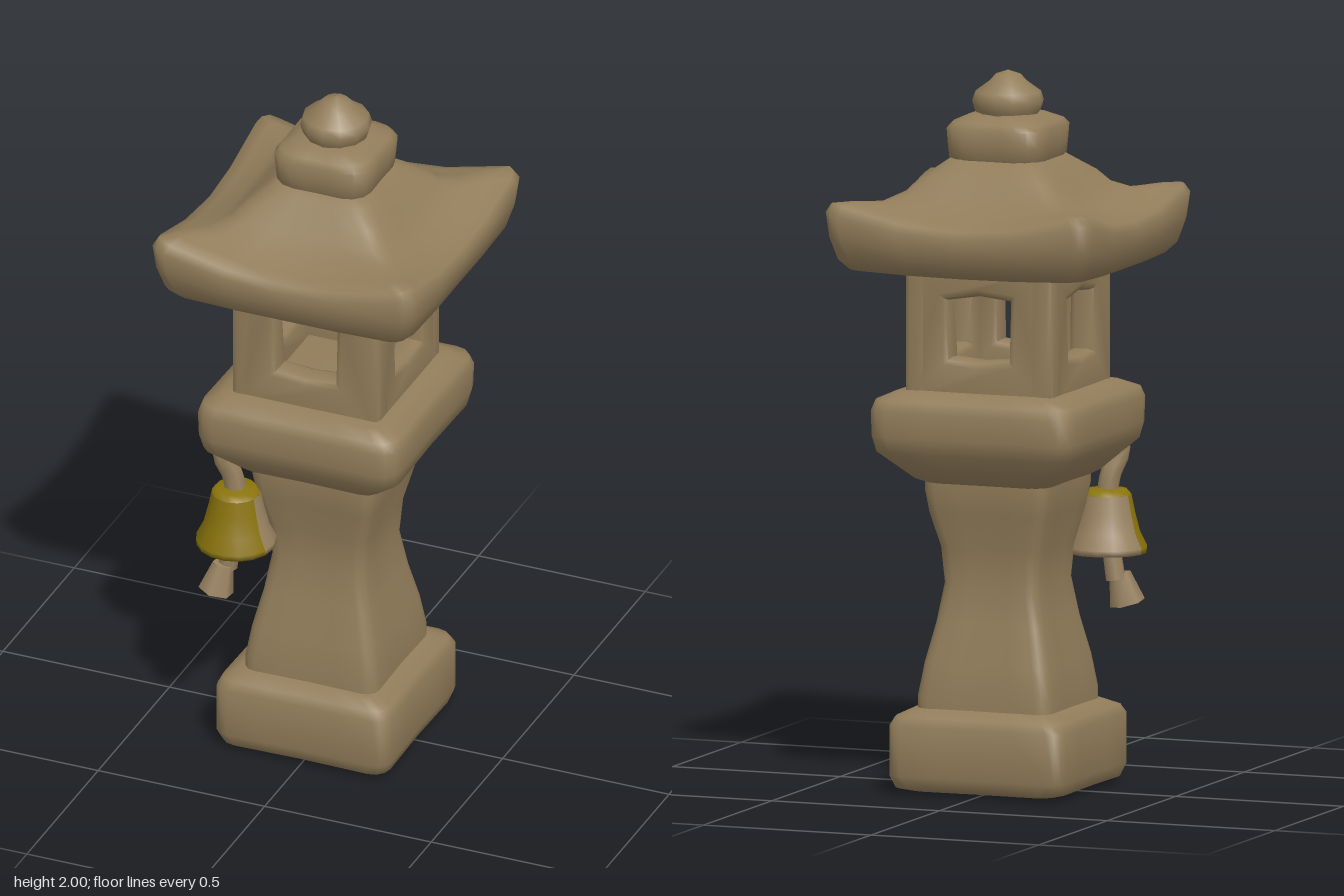
import * as THREE from 'three';
import { toCreasedNormals } from 'three/addons/utils/BufferGeometryUtils.js';

const stone = new THREE.MeshStandardMaterial({ color: 0x927d5a });
stone.name = 'stone';
const brass = new THREE.MeshStandardMaterial({ color: 0x8a740c, side: THREE.DoubleSide });
brass.name = 'brass';
const tan = new THREE.MeshStandardMaterial({ color: 0x9a8361, side: THREE.DoubleSide });
tan.name = 'weathered tan';

// Rounded square outline: each point is [x, z], seven points per side
function roundedSquare(half, radius) {
  const pts = [];
  for (let q = 0; q < 4; q++) {
    const c = Math.cos(q * Math.PI / 2), s = Math.sin(q * Math.PI / 2);
    const add = (x, z) => {
      const sag = 0.02 * half * (1 - Math.abs(z) / half); // worn, slightly hollow sides
      pts.push([(x - sag) * c - z * s, (x - sag) * s + z * c]);
    };
    const flat = half - radius;
    for (let i = -2; i <= 2; i++) add(half, flat * i / 2);
    for (const a of [Math.PI / 6, Math.PI / 3]) {
      add(flat + radius * Math.cos(a), flat + radius * Math.sin(a));
    }
  }
  return pts;
}

// Carved block from rings of [y, half width, corner radius, corner lift]
function carved(rings, bottomY, topY) {
  const pos = [], idx = [], n = 28;
  for (const [y, half, radius, lift = 0] of rings) {
    for (const [x, z] of roundedSquare(half, radius)) {
      const corner = Math.min(Math.abs(x), Math.abs(z)) / half;
      pos.push(x, y + lift * corner * corner, z);
    }
  }
  for (let i = 0; i < rings.length - 1; i++) {
    for (let j = 0; j < n; j++) {
      const a = i * n + j, b = i * n + (j + 1) % n;
      idx.push(a, a + n, b + n, a, b + n, b);
    }
  }
  const low = pos.length / 3, high = low + 1, last = (rings.length - 1) * n;
  pos.push(0, bottomY, 0, 0, topY, 0);
  for (let j = 0; j < n; j++) {
    const k = (j + 1) % n;
    idx.push(low, j, k, high, last + k, last + j);
  }
  const g = new THREE.BufferGeometry();
  g.setAttribute('position', new THREE.Float32BufferAttribute(pos, 3));
  g.setIndex(idx);
  return toCreasedNormals(g, 1.0);
}

function part(name, geometry, material, parent) {
  const m = new THREE.Mesh(geometry, material);
  m.name = name;
  parent.add(m);
  return m;
}

// One wall of the lamp house with a chamfered window
function wallGeometry() {
  const bevel = 0.02, w = 0.222;
  const shape = new THREE.Shape([[-w, 1.08], [w, 1.08], [w, 1.5], [-w, 1.5]]
    .map(p => new THREE.Vector2(...p)));
  shape.holes.push(new THREE.Path([[-0.085, 1.22], [-0.095, 1.38], [0, 1.395], [0.092, 1.385], [0.088, 1.22], [0, 1.213]]
    .map(p => new THREE.Vector2(...p))));
  const g = new THREE.ExtrudeGeometry(shape, {
    depth: 0.04, bevelEnabled: true, bevelSize: bevel, bevelOffset: -bevel,
    bevelThickness: 0.02, bevelSegments: 2,
  });
  g.translate(0, 0, 0.222 - 0.06);
  return toCreasedNormals(g, 0.9);
}

const lathePoints = list => list.map(p => new THREE.Vector2(...p));

export function createModel() {
  const lantern = new THREE.Group();
  lantern.name = 'stoneLantern';

  part('base', carved([
    [0.005, 0.215, 0.05], [0.015, 0.25, 0.05], [0.05, 0.262, 0.045], [0.19, 0.262, 0.045],
    [0.215, 0.25, 0.05], [0.235, 0.21, 0.05],
  ], 0, 0.24), stone, lantern);

  part('post', carved([
    [0.2, 0.2, 0.04], [0.27, 0.2, 0.04], [0.36, 0.186, 0.04], [0.47, 0.16, 0.035],
    [0.58, 0.142, 0.035], [0.68, 0.15, 0.035], [0.78, 0.175, 0.035], [0.84, 0.185, 0.04], [0.88, 0.185, 0.04],
  ], 0.2, 0.88), stone, lantern);

  part('platform', carved([
    [0.86, 0.18, 0.05], [0.875, 0.21, 0.05], [0.9, 0.235, 0.05], [0.955, 0.293, 0.06],
    [1.0, 0.303, 0.06], [1.07, 0.305, 0.06], [1.1, 0.295, 0.06], [1.12, 0.25, 0.05], [1.13, 0.2, 0.05],
  ], 0.86, 1.13), stone, lantern);

  // Lamp house with a window on every side
  const house = new THREE.Group();
  house.name = 'lampHouse';
  lantern.add(house);
  const wall = wallGeometry();
  for (let i = 0; i < 4; i++) part('windowWall', wall, stone, house).rotation.y = i * Math.PI / 2;

  // Roof with upturned corners
  part('roof', carved([
    [1.455, 0.24, 0.03], [1.46, 0.345, 0.04, 0.01], [1.48, 0.372, 0.05, 0.02], [1.53, 0.39, 0.05, 0.035],
    [1.575, 0.398, 0.05, 0.065], [1.595, 0.385, 0.05, 0.07], [1.61, 0.345, 0.05, 0.055],
    [1.635, 0.28, 0.05, 0.02], [1.675, 0.23, 0.05], [1.71, 0.2, 0.05], [1.745, 0.155, 0.05], [1.765, 0.13, 0.05],
  ], 1.455, 1.77), stone, lantern);

  part('collar', carved([
    [1.745, 0.125, 0.06], [1.765, 0.14, 0.065], [1.8, 0.143, 0.065], [1.845, 0.147, 0.07],
    [1.862, 0.135, 0.07], [1.878, 0.1, 0.06], [1.885, 0.07, 0.05],
  ], 1.745, 1.885), stone, lantern);

  part('finial', new THREE.LatheGeometry(lathePoints([
    [0.075, 1.86], [0.092, 1.89], [0.1, 1.915], [0.092, 1.94], [0.055, 1.967], [0.035, 1.988], [0, 2],
  ]), 12), stone, lantern);

  // Bell hanging from the front corner of the platform
  const bell = new THREE.Group();
  bell.name = 'bell';
  bell.position.set(-0.212, 0, 0.205);
  lantern.add(bell);
  const profile = lathePoints([
    [0.085, 0.655], [0.11, 0.638], [0.112, 0.655], [0.092, 0.695], [0.078, 0.75], [0.068, 0.8],
  ]);
  const from = -1.75, sweep = 2.95;
  part('bellFront', new THREE.LatheGeometry(profile, 8, from, sweep), brass, bell);
  part('bellBack', new THREE.LatheGeometry(profile, 8, from + sweep, Math.PI * 2 - sweep), tan, bell);
  part('bellCrown', new THREE.LatheGeometry(lathePoints([[0.068, 0.8], [0.055, 0.815], [0, 0.82]]), 14), brass, bell);

  const cord = new THREE.CatmullRomCurve3([
    new THREE.Vector3(0.0, 0.8, 0), new THREE.Vector3(-0.01, 0.86, 0.005),
    new THREE.Vector3(-0.03, 0.92, 0.02), new THREE.Vector3(-0.025, 0.97, 0.01),
  ]);
  part('strap', new THREE.TubeGeometry(cord, 8, 0.03, 7), tan, bell);

  // Clapper with a flared paddle below the rim
  const rod = part('clapperRod', new THREE.CylinderGeometry(0.025, 0.028, 0.16, 7), tan, bell);
  rod.position.set(-0.01, 0.64, 0.01);
  rod.rotation.z = -0.15;
  const paddle = part('clapperPaddle', new THREE.CylinderGeometry(0.03, 0.05, 0.085, 6), tan, bell);
  paddle.position.set(-0.037, 0.535, 0.03);
  paddle.rotation.set(-0.15, 0, -0.2);

  return lantern;
}
